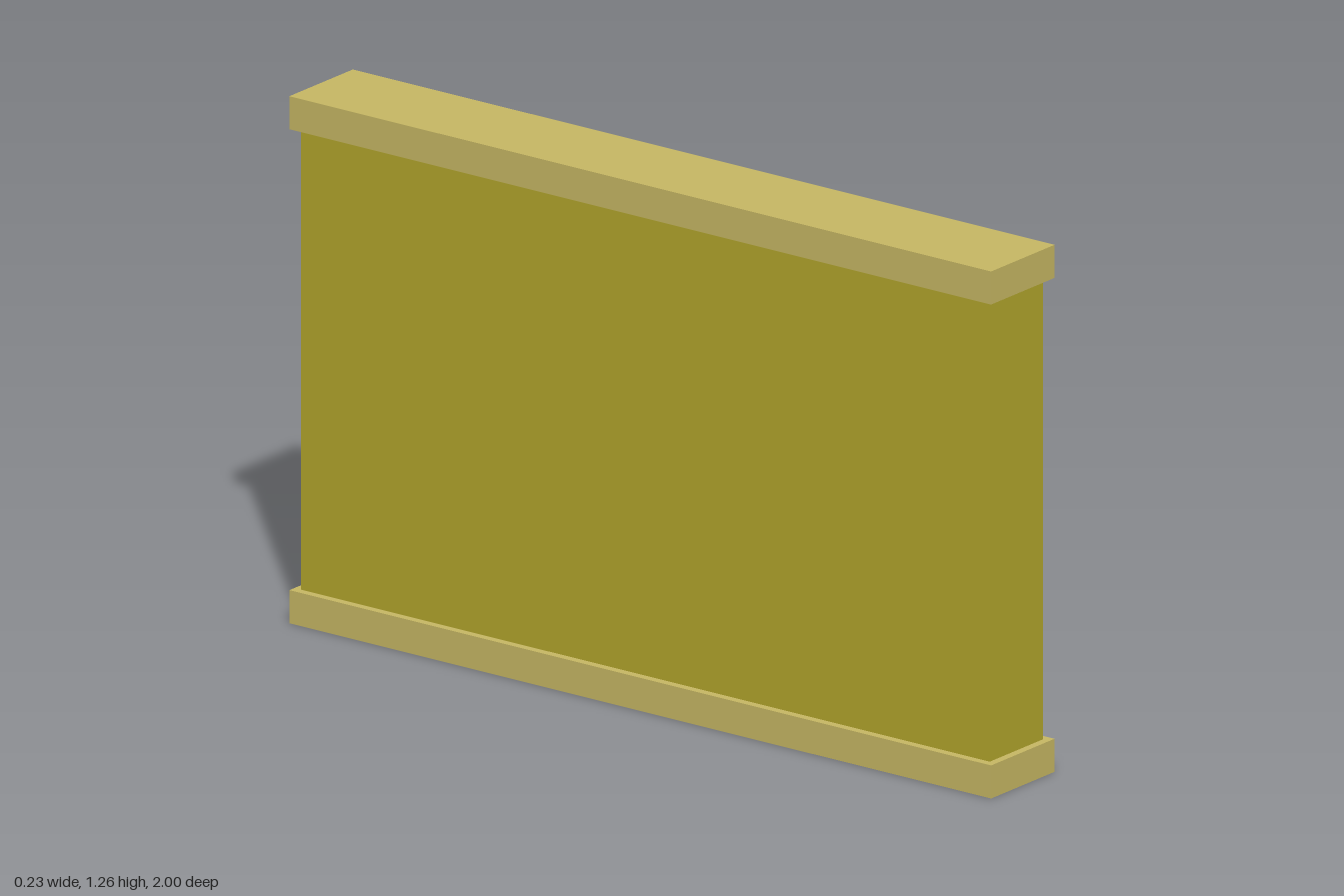
import * as THREE from 'three';

const HEIGHT = 1.258, TRIM_H = 0.079;

export function createModel() {
  const group = new THREE.Group();
  group.name = 'wallSegment';

  const wallMaterial = new THREE.MeshStandardMaterial({ color: 0xb3a72c });
  wallMaterial.name = 'olive yellow';
  const trimMaterial = new THREE.MeshStandardMaterial({ color: 0xc8b964 });
  trimMaterial.name = 'pale sand';

  // Adds a box centred on x and z, standing at height y
  const addBox = (name, width, height, depth, y, material) => {
    const mesh = new THREE.Mesh(new THREE.BoxGeometry(width, height, depth), material);
    mesh.name = name;
    mesh.position.y = y + height / 2;
    group.add(mesh);
  };

  // Wall panel between two slightly wider trims
  addBox('wallPanel', 0.197, HEIGHT - 2 * TRIM_H, 1.963, TRIM_H, wallMaterial);
  addBox('baseTrim', 0.235, TRIM_H, 2, 0, trimMaterial);
  addBox('topTrim', 0.235, TRIM_H, 2, HEIGHT - TRIM_H, trimMaterial);

  return group;
}
